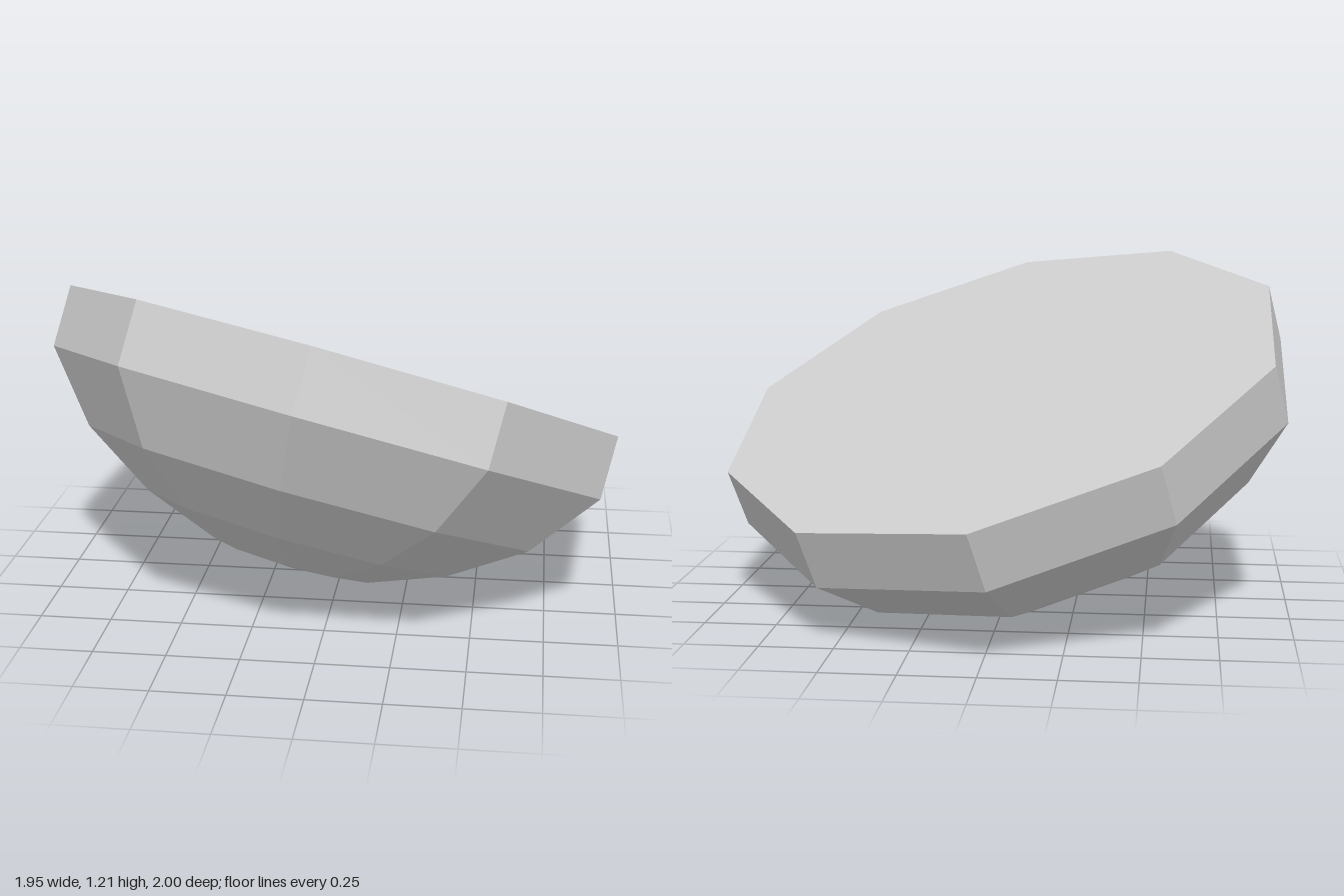
import * as THREE from 'three';

const SIDES = 10;
const RADIUS = 1.024;

export function createModel() {
  const group = new THREE.Group();
  group.name = 'tiltedDome';
  const grey = new THREE.MeshStandardMaterial({ color: 0xcccccc });
  grey.name = 'light grey';

  // faceted ring of ten sides from [radius, height] pairs, listed bottom to top
  function turned(name, profile) {
    const points = profile.map(([r, y]) => new THREE.Vector2(r, y));
    const geometry = new THREE.LatheGeometry(points, SIDES).toNonIndexed();
    geometry.computeVertexNormals();
    const mesh = new THREE.Mesh(geometry, grey);
    mesh.name = name;
    group.add(mesh);
  }

  // shallow rounded bowl underneath
  turned('bowl', [[0, -0.76], [0.297, -0.726], [0.573, -0.62], [0.833, -0.454], [RADIUS, -0.218]]);
  // straight band round the edge
  turned('rimBand', [[RADIUS, -0.218], [RADIUS, 0]]);
  // flat lid
  turned('topFace', [[RADIUS, 0], [0, 0]]);

  // lean the whole body towards the back left
  const up = new THREE.Vector3(0.232, 0.916, -0.3275).normalize();
  const side = new THREE.Vector3().crossVectors(up, new THREE.Vector3(-0.005, 0.345, 0.965)).normalize();
  const front = new THREE.Vector3().crossVectors(side, up);
  group.quaternion.setFromRotationMatrix(new THREE.Matrix4().makeBasis(side, up, front));
  group.position.set(0.025, 0.805, -0.035);

  const model = new THREE.Group();
  model.name = 'model';
  model.add(group);
  return model;
}
